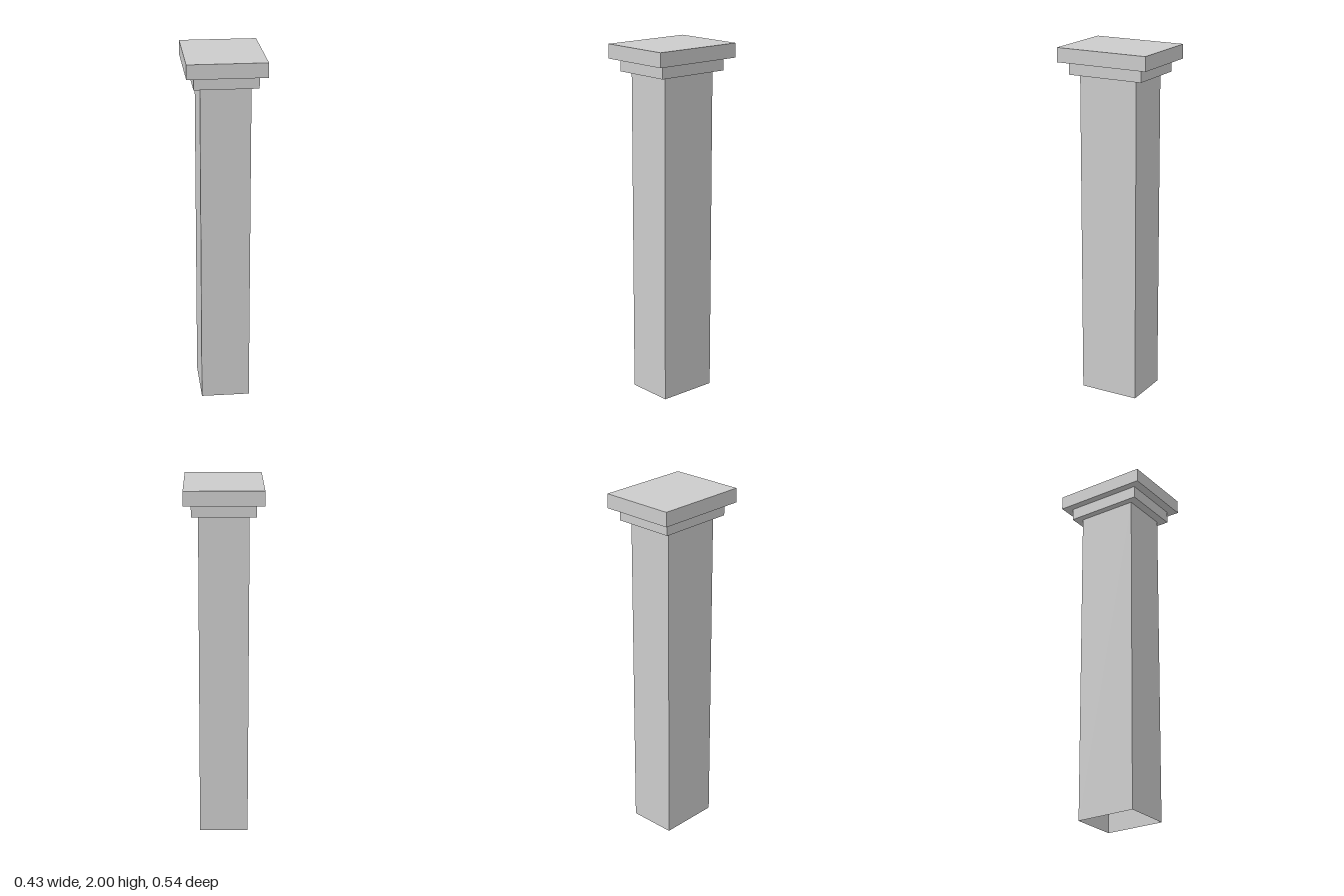
import * as THREE from 'three';

export function createModel() {
  const group = new THREE.Group();
  const material = new THREE.MeshStandardMaterial({
    color: 0xcccccc, flatShading: true, side: THREE.DoubleSide,
  });

  function add(name, geometry, y) {
    const mesh = new THREE.Mesh(geometry, material);
    mesh.name = name;
    mesh.position.y = y;
    group.add(mesh);
  }

  // Hollow rectangular shaft, open at the bottom
  const shaft = new THREE.CylinderGeometry(Math.SQRT1_2, Math.SQRT1_2, 1.85, 4, 1, true, Math.PI / 4);
  shaft.scale(0.274, 1, 0.346);
  add('shaft', shaft, 0.925);

  // Stepped capital: [name, width, depth, bottom, top]
  for (const [name, width, depth, bottom, top] of [
    ['capitalStep', 0.348, 0.442, 1.85, 1.92],
    ['capitalSlab', 0.43, 0.54, 1.92, 2],
  ]) {
    add(name, new THREE.BoxGeometry(width, top - bottom, depth), (bottom + top) / 2);
  }
  return group;
}
